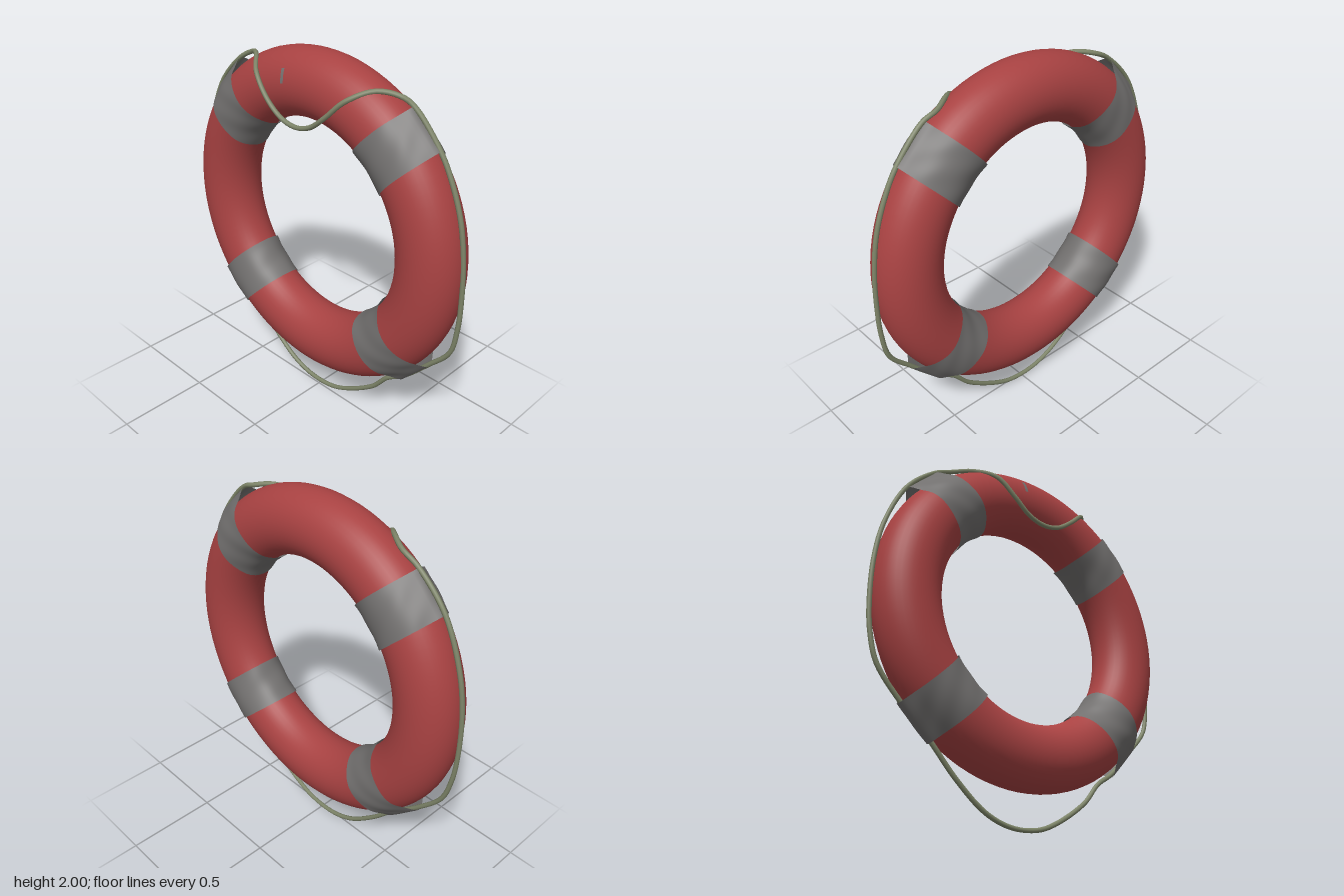
import * as THREE from 'three';
import { mergeVertices } from 'three/addons/utils/BufferGeometryUtils.js';

const CY = 1.1, CZ = -0.015;          // ring centre
const R = 0.725, RR = 0.175, RZ = 0.16; // ring radius and oval section

const red = new THREE.MeshStandardMaterial({ name: 'ring red', color: 0xa84242 });
const grey = new THREE.MeshStandardMaterial({ name: 'band grey', color: 0x72706f, side: THREE.DoubleSide });
const olive = new THREE.MeshStandardMaterial({ name: 'rope olive', color: 0x7d8468 });

// Smooth surface from a rule f(u, v) -> [x, y, z], with u and v from 0 to 1
function surface(nu, nv, f) {
  const pos = [], index = [];
  for (let i = 0; i <= nu; i++) {
    for (let j = 0; j <= nv; j++) {
      pos.push(...f(i / nu, j / nv));
      if (i < nu && j < nv) {
        const a = i * (nv + 1) + j, b = a + nv + 1;
        index.push(a, b, a + 1, b, b + 1, a + 1);
      }
    }
  }
  const g = new THREE.BufferGeometry();
  g.setAttribute('position', new THREE.Float32BufferAttribute(pos, 3));
  g.setIndex(index);
  const merged = mergeVertices(g, 1e-5);
  merged.computeVertexNormals();
  return merged;
}

// Point on the ring at angle theta, section angle phi, lifted by a small amount
function ringPoint(theta, phi, lift = 0) {
  const r = R + (RR + lift) * Math.cos(phi);
  return [r * Math.cos(theta), CY + r * Math.sin(theta), CZ + (RZ + lift) * Math.sin(phi)];
}

// Parallel-sided cloth band, pulled out flat at the rim where the rope passes under
function bandGeometry(angle, seed) {
  return surface(12, 64, (u, v) => {
    const phi = (v * 2 - 1) * Math.PI;
    const t = (u - 0.5) * 0.232;
    const crease = 0.0025 * Math.sin(phi * 5 + seed + u * 4) * Math.sin(u * 6 + seed * 2 + 2 * Math.sin(phi));
    const lift = 0.008 + crease;
    const r = R + (RR + lift) * Math.cos(phi);
    const w = Math.exp(-((phi / 0.28) ** 2));
    const d = THREE.MathUtils.lerp(Math.sqrt(r * r - t * t), 0.938, w);
    const c = Math.cos(angle), s = Math.sin(angle);
    return [d * c - t * s, CY + d * s + t * c, CZ + (RZ + lift) * Math.sin(phi)];
  });
}

export function createModel() {
  const group = new THREE.Group();
  group.name = 'lifebuoy';
  const add = (name, geometry, material) => {
    const mesh = new THREE.Mesh(geometry, material);
    mesh.name = name;
    group.add(mesh);
  };

  // Float ring
  add('floatRing', surface(96, 40, (u, v) => ringPoint(u * 2 * Math.PI, v * 2 * Math.PI)), red);

  // Four bands
  const bands = { upperLeftBand: 46, upperRightBand: 136.5, lowerRightBand: 227, lowerLeftBand: 317 };
  Object.entries(bands).forEach(([name, deg], i) =>
    add(name, bandGeometry(THREE.MathUtils.degToRad(deg), i * 1.7), grey));

  // Small scuff on the front of the ring
  add('scuffMark', surface(3, 6, (u, v) => ringPoint(1.7 + 0.024 * u, 1.03 + 0.42 * v, 0.003)), grey);

  // Grab rope: sags over the front at the top, hangs loose at the bottom
  const path = [
    [0, 1.652, 0.163], [0.1, 1.677, 0.163], [0.2, 1.752, 0.163], [0.3, 1.848, 0.135], [0.4, 1.898, 0.045],
    [0.5, 1.882], [0.58, 1.85], [0.73, 1.69], [0.8, 1.57], [0.865, 1.4], [0.9, 1.2], [0.91, 1.0],
    [0.905, 0.84], [0.875, 0.69], [0.76, 0.555], [0.6, 0.39], [0.5, 0.32], [0.4, 0.205], [0.2, 0.07],
    [0.08, 0.024], [-0.08, 0.018], [-0.23, 0.068], [-0.4, 0.2], [-0.55, 0.355], [-0.71, 0.5],
    [-0.85, 0.66], [-0.895, 0.8], [-0.913, 0.95], [-0.91, 1.2], [-0.87, 1.42], [-0.76, 1.67],
    [-0.6, 1.83], [-0.5, 1.883], [-0.4, 1.9, 0.045], [-0.3, 1.852, 0.135], [-0.2, 1.752, 0.163], [-0.1, 1.675, 0.163],
  ].map(([x, y, z = CZ]) => new THREE.Vector3(x, y, z));
  const curve = new THREE.CatmullRomCurve3(path, true, 'centripetal');
  add('grabRope', new THREE.TubeGeometry(curve, 240, 0.0125, 8, true), olive);

  return group;
}
